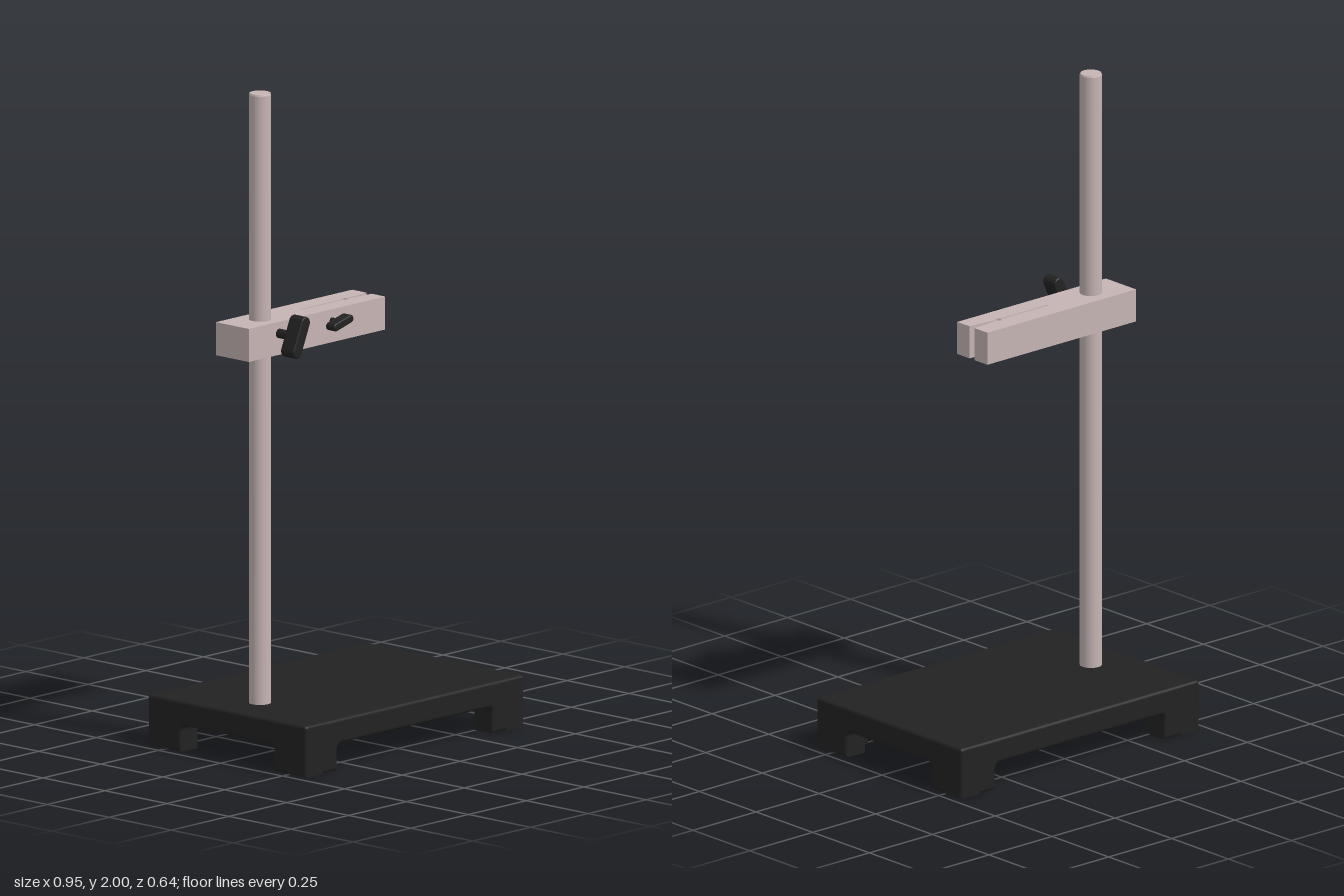
import * as THREE from 'three';
import { RoundedBoxGeometry } from 'three/addons/geometries/RoundedBoxGeometry.js';

const steel = new THREE.MeshStandardMaterial({ color: 0xc6b4b4 });
const black = new THREE.MeshStandardMaterial({ color: 0x222222 });

function add(parent, name, geometry, material, x = 0, y = 0, z = 0) {
  const mesh = new THREE.Mesh(geometry, material);
  mesh.name = name;
  mesh.position.set(x, y, z);
  parent.add(mesh);
  return mesh;
}

// Extrusion centred on z = 0, outer size including a rounded edge of radius r
function slab(shape, depth, r) {
  const geo = new THREE.ExtrudeGeometry(shape, {
    depth: depth - 2 * r, bevelEnabled: r > 0, bevelSize: r, bevelOffset: -r,
    bevelThickness: r, bevelSegments: 3, curveSegments: 10,
  });
  return geo.translate(0, 0, r - depth / 2);
}

// Skirt wall with a foot at each end and a filleted cut-out between them
function wallShape(half, inner, top) {
  const f = 0.02, rim = 0.08;
  const s = new THREE.Shape();
  s.moveTo(-half, 0);
  s.lineTo(-inner, 0);
  s.lineTo(-inner, rim - f);
  s.quadraticCurveTo(-inner, rim, -inner + f, rim);
  s.lineTo(inner - f, rim);
  s.quadraticCurveTo(inner, rim, inner, rim - f);
  s.lineTo(inner, 0);
  s.lineTo(half, 0);
  s.lineTo(half, top);
  s.lineTo(-half, top);
  s.closePath();
  return s;
}

function pillShape(halfLength, r) {
  const s = new THREE.Shape();
  const h = halfLength - r;
  s.absarc(h, 0, r, -Math.PI / 2, Math.PI / 2, false);
  s.absarc(-h, 0, r, Math.PI / 2, Math.PI * 1.5, false);
  s.closePath();
  return s;
}

function makeBase() {
  const base = new THREE.Group();
  base.name = 'base';
  const hx = 0.473, hz = 0.32, t = 0.08;
  add(base, 'topPlate', new RoundedBoxGeometry(2 * hx, 0.035, 2 * hz, 3, 0.01), black, 0, 0.1375, 0);
  for (const side of [-1, 1]) {
    add(base, 'longWall', slab(wallShape(hx, 0.335, 0.148), t, 0.01), black, 0, 0, side * (hz - t / 2));
    const end = add(base, 'shortWall', slab(wallShape(hz, 0.187, 0.148), t, 0.01), black, side * (hx - t / 2));
    end.rotation.y = Math.PI / 2;
  }
  return base;
}

// Bar with a slit that opens out towards its free end
function makeClamp() {
  const s = new THREE.Shape();
  const x0 = -0.447, x1 = 0.143, z0 = -0.068, z1 = 0.065;
  const hole = 0.038, r = 0.011, w = 0.0035;
  const a = Math.asin(w / r);
  s.moveTo(x0, -z1);
  s.lineTo(x1, -z1);
  s.lineTo(x1, -0.011);
  s.lineTo(hole + r * Math.cos(a), -w);
  s.absarc(hole, 0, r, -a, -Math.PI + a, true);
  s.lineTo(-0.155, -w);
  s.lineTo(-0.155, w);
  s.lineTo(hole - r * Math.cos(a), w);
  s.absarc(hole, 0, r, Math.PI - a, a, true);
  s.lineTo(x1, 0.011);
  s.lineTo(x1, -z0);
  s.lineTo(x0, -z0);
  s.closePath();
  return slab(s, 0.1, 0).rotateX(-Math.PI / 2);
}

// Wing knob: stem along z with an elongated grip turned by an angle
function makeKnob(name, x, zGrip, depth, halfLength, r, stemR, angle) {
  const knob = new THREE.Group();
  knob.name = name;
  const stemLength = zGrip - 0.05 + depth / 2;
  add(knob, 'stem', new THREE.CylinderGeometry(stemR, stemR, stemLength, 20).rotateX(Math.PI / 2),
    black, 0, 0, 0.05 + stemLength / 2);
  add(knob, 'grip', slab(pillShape(halfLength, r), depth, 0.005), black, 0, 0, zGrip + depth / 2).rotation.z = angle;
  knob.position.set(x, 1.28, 0);
  return knob;
}

export function createModel() {
  const model = new THREE.Group();
  model.name = 'clampStand';
  model.add(makeBase());

  // Upright rod with a slightly eased top edge
  add(model, 'rod', new THREE.CylinderGeometry(0.033, 0.033, 1.865, 40), steel, -0.329, 1.0625, 0);
  add(model, 'rodTip', new THREE.CylinderGeometry(0.031, 0.033, 0.005, 40), steel, -0.329, 1.9975, 0);

  add(model, 'clampBar', makeClamp(), steel, 0, 1.265, 0);
  model.add(makeKnob('rodKnob', -0.316, 0.104, 0.054, 0.064, 0.019, 0.014, 1.17));
  model.add(makeKnob('jawKnob', -0.088, 0.079, 0.036, 0.044, 0.012, 0.01, 0.25));
  return model;
}
